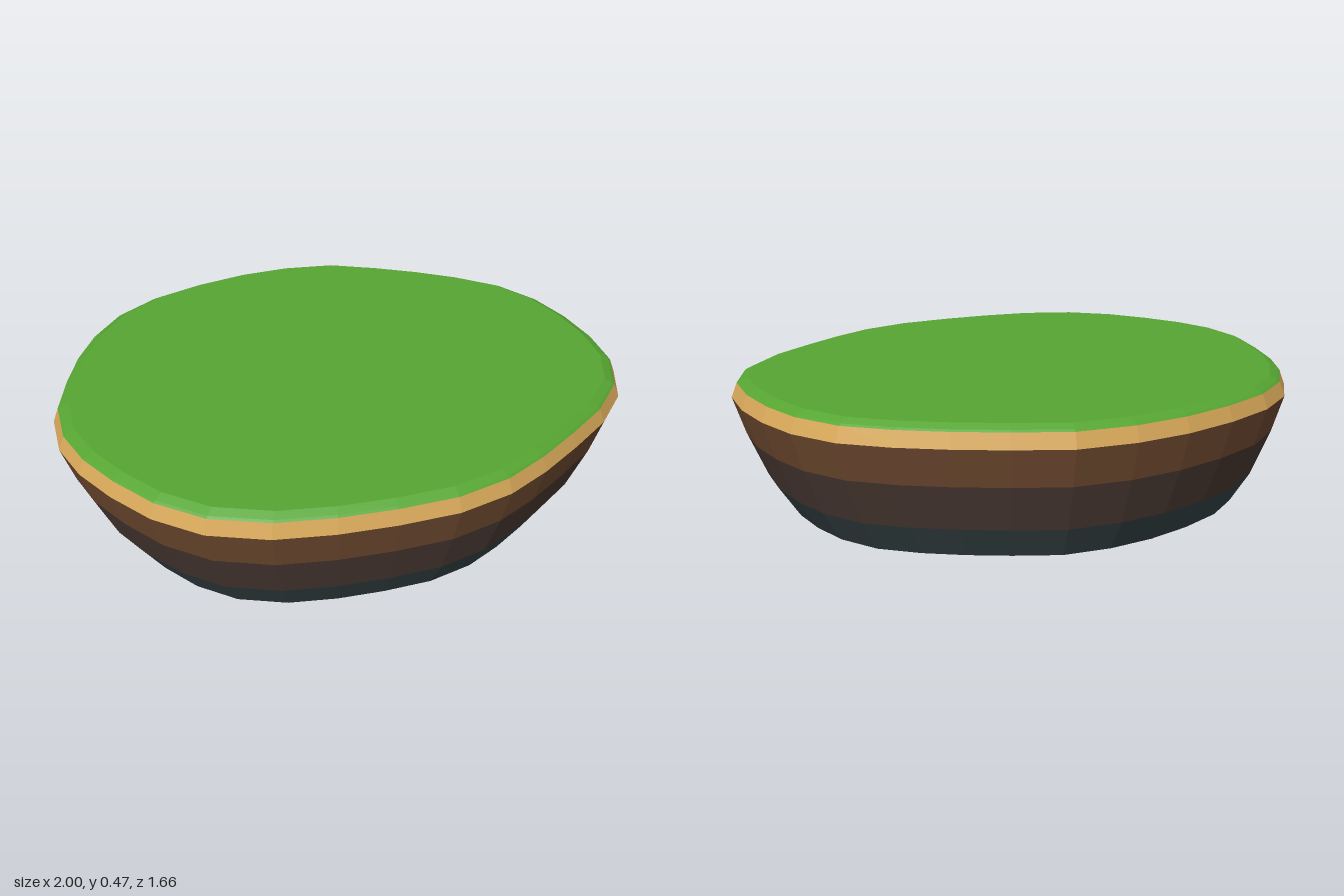
import * as THREE from 'three';

// Irregular 32-sided outline at the widest level, as [x, z], clockwise from above
const OUTLINE = [
  [-0.02, -0.83], [0.18, -0.81], [0.36, -0.735], [0.52, -0.655],
  [0.67, -0.565], [0.81, -0.455], [0.91, -0.31], [0.965, -0.155],
  [0.995, 0.01], [0.995, 0.185], [0.935, 0.345], [0.815, 0.48],
  [0.665, 0.59], [0.515, 0.69], [0.365, 0.77], [0.18, 0.82],
  [-0.02, 0.83], [-0.21, 0.825], [-0.405, 0.80], [-0.595, 0.73],
  [-0.74, 0.615], [-0.85, 0.475], [-0.935, 0.335], [-0.99, 0.185],
  [-1.0, 0.01], [-0.96, -0.155], [-0.91, -0.31], [-0.84, -0.455],
  [-0.735, -0.595], [-0.585, -0.70], [-0.40, -0.77], [-0.21, -0.815],
];

// Stack of scaled outlines, [scale, y] from bottom to top, with optional flat caps
function layer(name, color, rings, { top = false, bottom = false } = {}) {
  const pos = [];
  const n = OUTLINE.length;
  const at = ([s, y], i) => [OUTLINE[i % n][0] * s, y, OUTLINE[i % n][1] * s];
  const tri = (a, b, c) => pos.push(...a, ...b, ...c);
  const first = rings[0];
  const last = rings[rings.length - 1];
  for (let i = 0; i < n; i++) {
    for (let r = 0; r < rings.length - 1; r++) {
      const lo = rings[r], hi = rings[r + 1];
      tri(at(lo, i), at(hi, i), at(hi, i + 1));
      tri(at(lo, i), at(hi, i + 1), at(lo, i + 1));
    }
    if (top) tri([0, last[1], 0], at(last, i + 1), at(last, i));
    if (bottom) tri([0, first[1], 0], at(first, i), at(first, i + 1));
  }
  const geometry = new THREE.BufferGeometry();
  geometry.setAttribute('position', new THREE.Float32BufferAttribute(pos, 3));
  geometry.computeVertexNormals();
  const mesh = new THREE.Mesh(geometry, new THREE.MeshStandardMaterial({ color, flatShading: true }));
  mesh.name = name;
  return mesh;
}

export function createModel() {
  const group = new THREE.Group();
  group.name = 'grassIsland';
  group.add(
    // Tapered ground strata
    layer('stoneBase', 0x364345, [[0.825, 0], [0.895, 0.11]], { bottom: true }),
    layer('darkSoil', 0x4a3a33, [[0.895, 0.11], [0.96, 0.27]]),
    layer('brownSoil', 0x6f4a30, [[0.96, 0.27], [1, 0.4]]),
    // Sandy rim and bevelled turf
    layer('sandRim', 0xd9a95a, [[1, 0.4], [0.98, 0.45]]),
    layer('grassTop', 0x56a532, [[0.98, 0.45], [0.972, 0.456], [0.943, 0.47]], { top: true }),
  );
  return group;
}
